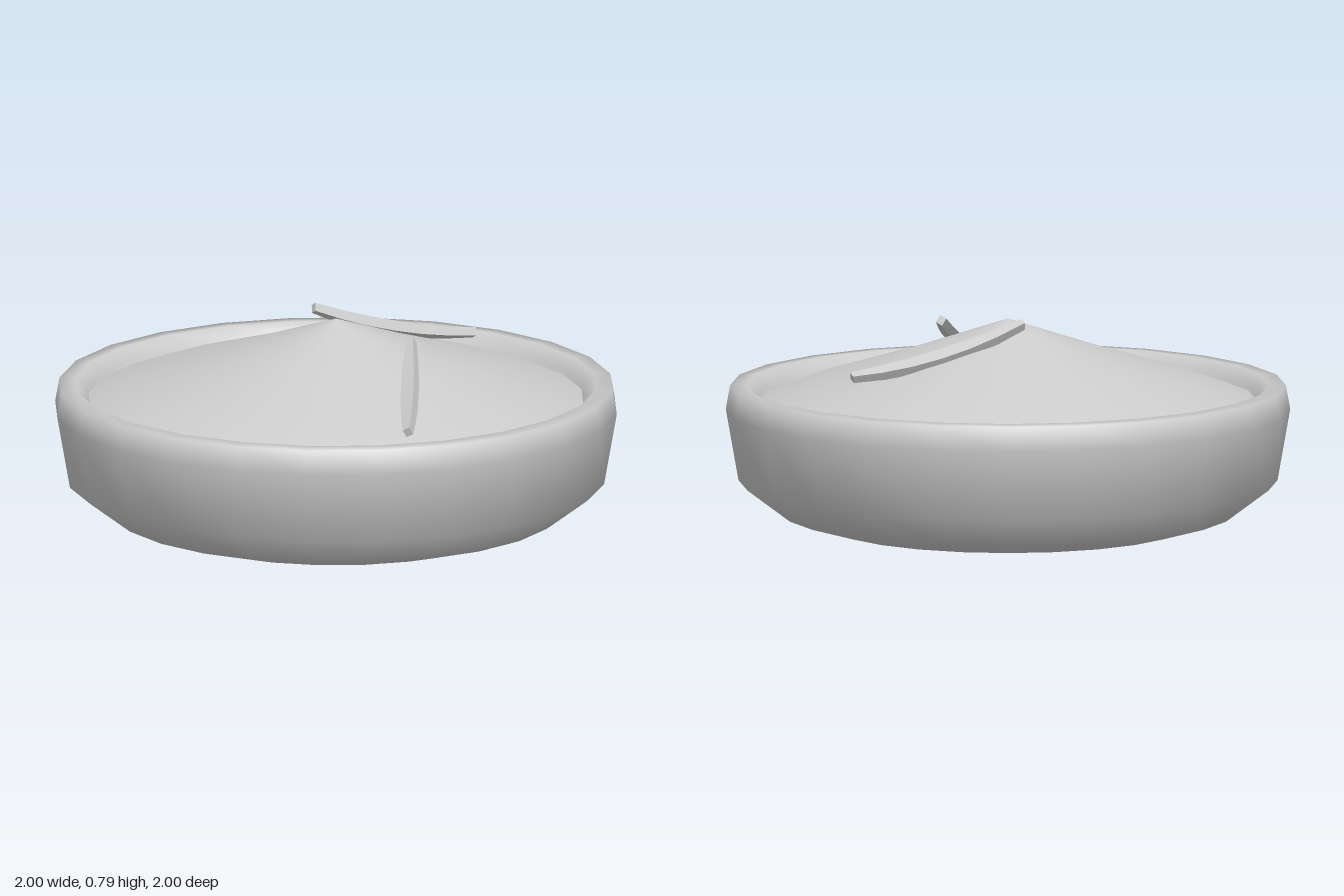
import * as THREE from 'three';

const material = new THREE.MeshStandardMaterial({ color: 0xcccccc });

function lathe(name, profile) {
  const points = profile.map(([r, y]) => new THREE.Vector2(r, y));
  const mesh = new THREE.Mesh(new THREE.LatheGeometry(points, 24), material);
  mesh.name = name;
  return mesh;
}

// Tapered, rolled bar that sags between its two ends
function stick(name, start, end) {
  const a = new THREE.Vector3(...start), b = new THREE.Vector3(...end);
  const length = a.distanceTo(b);
  const geometry = new THREE.BoxGeometry(length, 1, 1, 6, 1, 1);
  const pos = geometry.attributes.position;
  const roll = -0.5;
  for (let i = 0; i < pos.count; i++) {
    const x = pos.getX(i);
    const bulge = 1 - (2 * x / length) ** 2;
    const h = pos.getY(i) * (0.03 + 0.008 * bulge);
    const w = pos.getZ(i) * (0.026 + 0.026 * bulge);
    pos.setY(i, h * Math.cos(roll) - w * Math.sin(roll) - 0.028 * bulge);
    pos.setZ(i, h * Math.sin(roll) + w * Math.cos(roll));
  }
  geometry.computeVertexNormals();
  const along = b.clone().sub(a).normalize();
  const side = along.clone().cross(new THREE.Vector3(0, 1, 0)).normalize();
  const up = side.clone().cross(along);
  const mesh = new THREE.Mesh(geometry, material);
  mesh.name = name;
  mesh.quaternion.setFromRotationMatrix(new THREE.Matrix4().makeBasis(along, up, side));
  mesh.position.copy(a).add(b).multiplyScalar(0.5);
  return mesh;
}

export function createModel() {
  const model = new THREE.Group();
  model.name = 'filledBowl';

  // Rounded bowl, from the underside over the rim and down the inner lip
  model.add(lathe('bowl', [
    [0, 0], [0.42, 0.005], [0.63, 0.02], [0.8, 0.068], [0.955, 0.185],
    [1, 0.44], [0.985, 0.525], [0.925, 0.528], [0.89, 0.49], [0.87, 0.45],
  ]));

  // Shallow heap that fills the bowl
  model.add(lathe('filling', [[0.9, 0.465], [0.73, 0.53], [0.36, 0.643], [0, 0.765]]));

  // Two sticks lying on the heap
  model.add(stick('leftStick', [0.07, 0.768, -0.148], [0.64, 0.606, 0.142]));
  model.add(stick('rightStick', [-0.51, 0.551, 0.682], [0.02, 0.726, 0.315]));

  return model;
}
